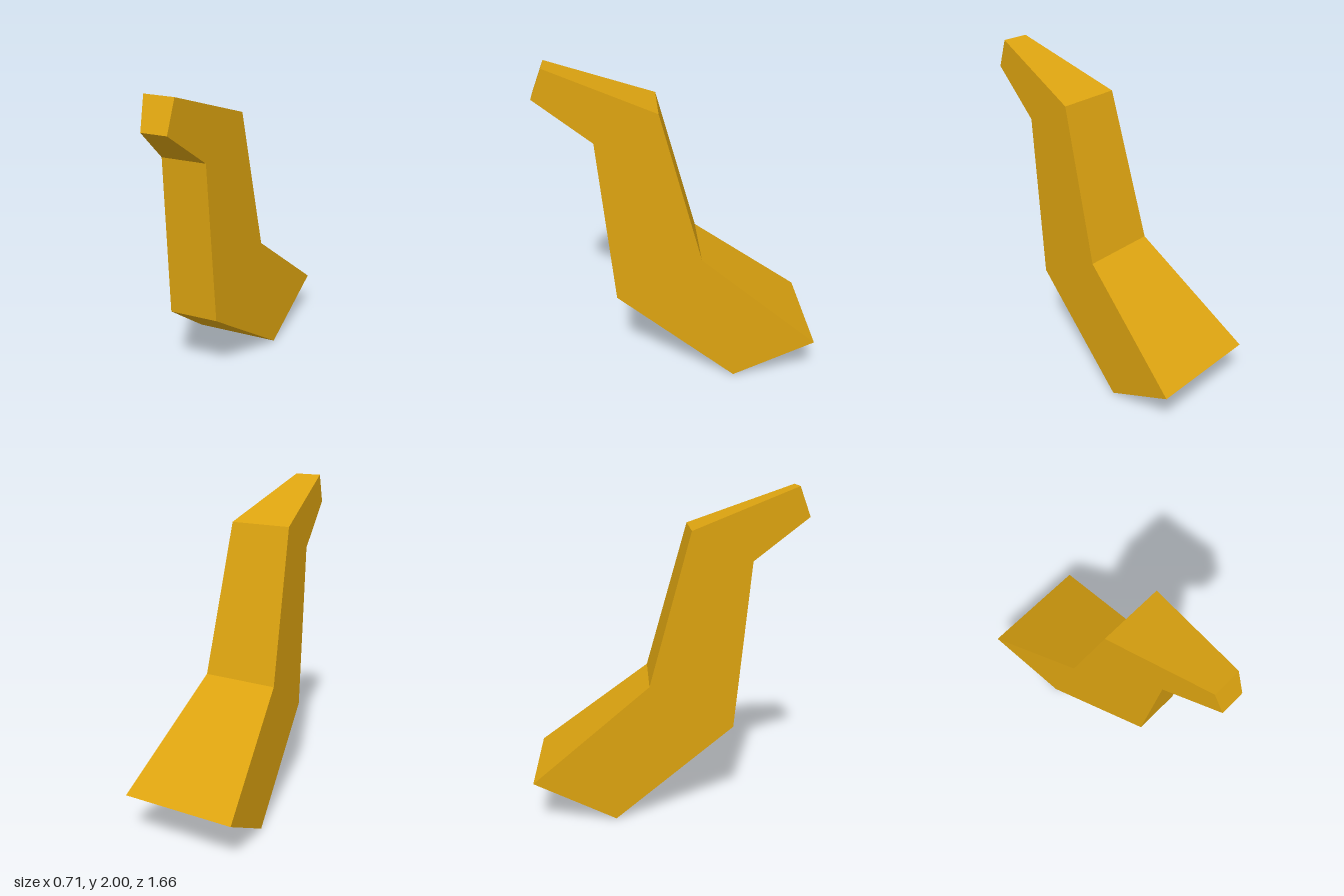
import * as THREE from 'three';

export function createModel() {
  const group = new THREE.Group();
  const gold = new THREE.MeshStandardMaterial({ color: 0xdca310, flatShading: true });
  gold.name = 'gold';

  // Side outline as (z, y) points: beak, throat, chest, base, tail, back, crown
  const outline = [
    [0.76, 2.0], [0.83, 1.82], [0.49, 1.57], [0.39, 0.54],
    [-0.34, 0], [-0.83, 0.285], [-0.13, 0.84], [0.12, 1.76],
  ].map(([z, y]) => new THREE.Vector2(z, y));

  // Extrude one unit across x, centred
  const geometry = new THREE.ExtrudeGeometry(new THREE.Shape(outline), { depth: 1, bevelEnabled: false });
  geometry.rotateY(-Math.PI / 2).translate(0.5, 0, 0);

  // Taper the width evenly from the wide tail to the narrow beak
  const p = geometry.attributes.position;
  for (let i = 0; i < p.count; i++) {
    const halfWidth = 0.215 - 0.171 * p.getZ(i);
    p.setX(i, p.getX(i) * 2 * halfWidth);
  }
  geometry.computeVertexNormals();

  const body = new THREE.Mesh(geometry, gold);
  body.name = 'taperedBirdBody';
  group.add(body);
  return group;
}
